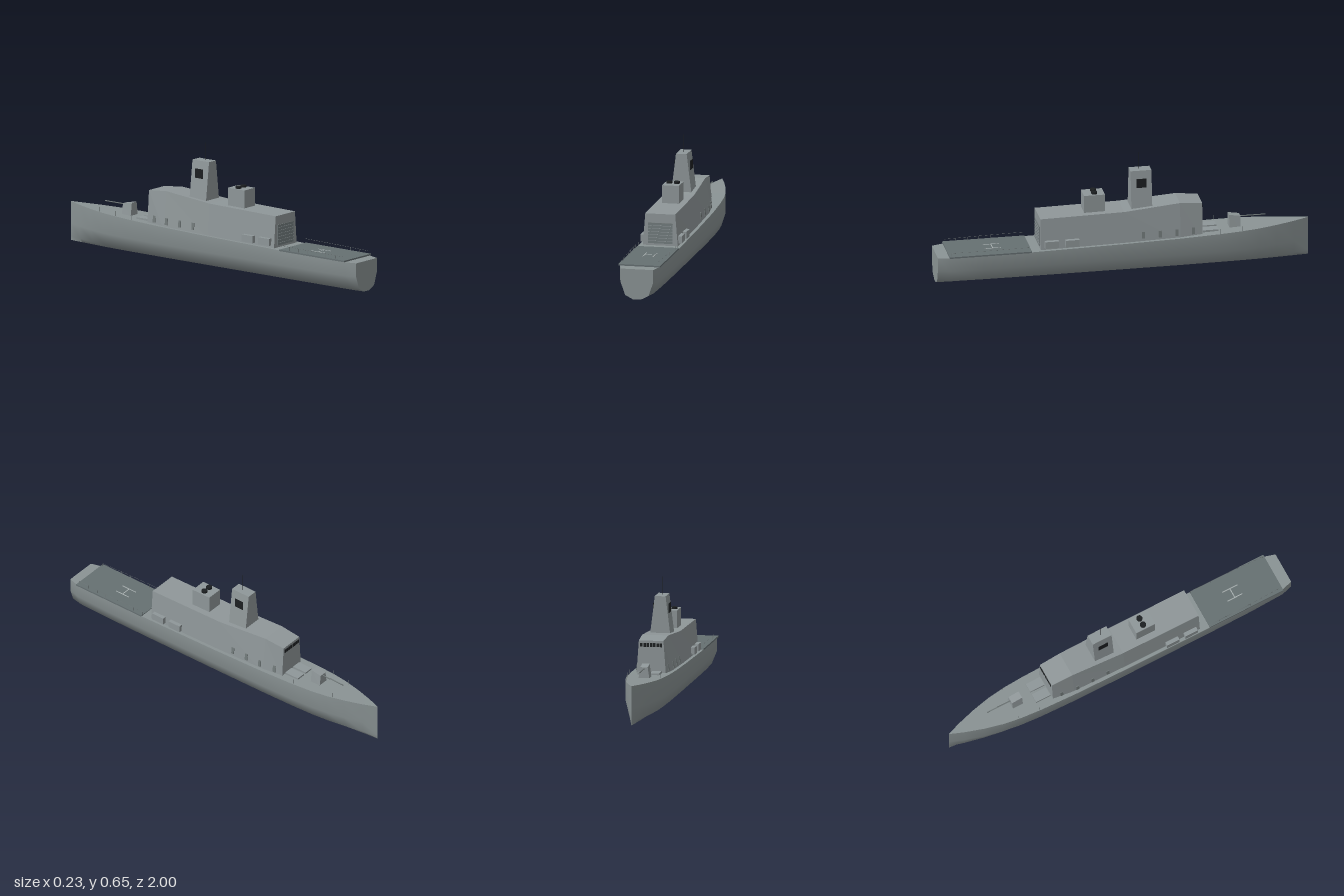
import * as THREE from 'three';
import { toCreasedNormals } from 'three/addons/utils/BufferGeometryUtils.js';

const mat = (name, color, side = THREE.FrontSide) => {
  const m = new THREE.MeshStandardMaterial({ color, side });
  m.name = name;
  return m;
};

// Closed skin over rings of [x, y, z]; rings run from +z to -z, counterclockwise seen from +z
function loft(rings, crease) {
  const n = rings[0].length, last = (rings.length - 1) * n, index = [];
  for (let i = 0; i < rings.length - 1; i++) {
    for (let j = 0; j < n; j++) {
      const a = i * n + j, b = i * n + (j + 1) % n;
      index.push(a, a + n, b, b, a + n, b + n);
    }
  }
  for (let j = 1; j < n - 1; j++) {
    index.push(0, j, j + 1, last, last + j + 1, last + j);
  }
  const g = new THREE.BufferGeometry();
  g.setAttribute('position', new THREE.Float32BufferAttribute(rings.flat(2), 3));
  g.setIndex(index);
  return toCreasedNormals(g, crease);
}

// Straight-sided block from base and top half-widths per station [z, base, top, roofY]
const block = (stations, y0) => loft(stations.map(([z, b, t, y]) =>
  [[-t, y, z], [-b, y0, z], [b, y0, z], [t, y, z]]), 0.02);

// Hull stations: z, half-width, deck height
const HULL = [
  [1, 0.087, 0.163], [0.94, 0.104, 0.164], [0.75, 0.111, 0.166], [0.5, 0.113, 0.169],
  [0, 0.113, 0.178], [-0.3, 0.111, 0.185], [-0.5, 0.105, 0.191], [-0.62, 0.097, 0.195],
  [-0.72, 0.083, 0.198], [-0.82, 0.06, 0.202], [-0.92, 0.03, 0.206], [-1, 0.0008, 0.21],
];

// Half-width and deck height at any z
function hullAt(z) {
  const i = Math.max(1, HULL.findIndex(s => s[0] <= z));
  const a = HULL[i - 1], b = HULL[i], t = (z - a[0]) / (b[0] - a[0]);
  return [a[1] + (b[1] - a[1]) * t, a[2] + (b[2] - a[2]) * t];
}

export function createModel() {
  const ship = new THREE.Group();
  ship.name = 'warship';
  const hullGrey = mat('hull grey', 0x8a9394);
  const houseGrey = mat('superstructure grey', 0x8f9799);
  const deckGrey = mat('flight deck grey', 0x667072);
  const doorGrey = mat('hangar door grey', 0x737d7f);
  const paleGrey = mat('marking grey', 0xa9b1b1);
  const railGrey = mat('rail grey', 0x707878);
  const black = mat('black', 0x1c1f21);

  const add = (name, geometry, material, x = 0, y = 0, z = 0) => {
    const m = new THREE.Mesh(geometry, material);
    m.name = name;
    m.position.set(x, y, z);
    ship.add(m);
    return m;
  };
  const box = (name, material, w, h, d, x, y, z) =>
    add(name, new THREE.BoxGeometry(w, h, d), material, x, y, z);

  // Hull with chines, deck and transom
  add('hull', loft(HULL.map(([z, w, d]) => [
    [-w, d, z], [-w, 0.09, z], [-0.73 * w, 0.022, z], [-0.25 * w, 0, z],
    [0.25 * w, 0, z], [0.73 * w, 0.022, z], [w, 0.09, z], [w, d, z],
  ]), 1), hullGrey);

  // Flight deck and landing mark
  box('flightDeck', deckGrey, 0.226, 0.008, 0.44, 0, 0.169, 0.72);
  for (const s of [-1, 1]) {
    box('landingMarkBar', paleGrey, 0.005, 0.001, 0.09, s * 0.028, 0.1737, 0.695);
  }
  box('landingMarkCross', paleGrey, 0.056, 0.001, 0.005, 0, 0.1737, 0.695);

  // Superstructure
  add('superstructure', block([
    [0.45, 0.095, 0.081, 0.34], [0, 0.097, 0.08, 0.347],
    [-0.3, 0.094, 0.07, 0.371], [-0.42, 0.08, 0.066, 0.36],
  ], 0.165), houseGrey);

  // Hangar door with slats
  box('hangarDoor', doorGrey, 0.132, 0.11, 0.006, 0, 0.236, 0.45);
  for (let i = 0; i < 6; i++) {
    box('hangarSlat', houseGrey, 0.132, 0.002, 0.003, 0, 0.194 + i * 0.0165, 0.453);
  }
  box('hangarLintel', railGrey, 0.132, 0.003, 0.004, 0, 0.29, 0.453);

  // Bridge windows
  for (let i = -3; i <= 3; i++) {
    box('bridgeWindow', black, 0.013, 0.02, 0.004, i * 0.0175, 0.337, -0.421);
  }

  // Funnel and exhausts
  box('funnel', houseGrey, 0.09, 0.115, 0.112, 0, 0.3825, 0.153);
  for (const s of [-1, 1]) {
    add('exhaust', new THREE.CylinderGeometry(0.016, 0.016, 0.012, 16), black, s * 0.02, 0.445, 0.15);
  }

  // Mast, radar panels and antenna
  add('mast', block([[-0.043, 0.056, 0.029, 0.555], [-0.155, 0.056, 0.029, 0.555]], 0.335), houseGrey);
  for (const s of [-1, 1]) {
    box('radarPanel', black, 0.003, 0.05, 0.054, s * 0.042, 0.488, -0.1);
  }
  add('antenna', new THREE.CylinderGeometry(0.0017, 0.0017, 0.1, 8), black, 0, 0.6, -0.092);

  // Gun turret and barrel
  add('gunTurret', block([[-0.573, 0.03, 0.02, 0.262], [-0.633, 0.03, 0.02, 0.252]], 0.188), houseGrey);
  const barrel = add('gunBarrel', new THREE.CylinderGeometry(0.003, 0.003, 0.15, 8), railGrey, 0, 0.244, -0.695);
  barrel.rotation.x = Math.PI / 2;

  for (const s of [-1, 1]) {
    // Missile hatches on the foredeck
    box('foredeckHatch', houseGrey, 0.05, 0.014, 0.085, s * 0.033, 0.193, -0.467);
    // Boats beside the hangar
    for (const z of [0.392, 0.282]) {
      box('boat', houseGrey, 0.022, 0.038, 0.074, s * 0.101, 0.201, z);
    }
    // Side doors
    for (const z of [-0.1, -0.19, -0.28, -0.37]) {
      const half = z < -0.3 ? 0.084 : 0.094;
      const door = box('sideDoor', railGrey, 0.004, 0.036, 0.016, s * half, 0.213, z);
      door.rotation.z = s * 0.12;
    }
    // Flight deck and foredeck rails
    for (const [z0, z1, count] of [[0.93, 0.5, 8], [-0.45, -0.75, 6]]) {
      const tops = [];
      for (let i = 0; i < count; i++) {
        const z = z0 + (z1 - z0) * i / (count - 1);
        const [w, d] = hullAt(z);
        const x = s * (w - 0.006), y = d + 0.026;
        if (z > 0 || i % 2) box('railPost', railGrey, 0.0014, 0.026, 0.0014, x, d + 0.013, z);
        tops.push(new THREE.Vector3(x, y, z));
      }
      if (z0 > 0) {
        add('handRail', new THREE.TubeGeometry(new THREE.CatmullRomCurve3(tops), 14, 0.0007, 4), railGrey);
      }
    }
  }
  return ship;
}
